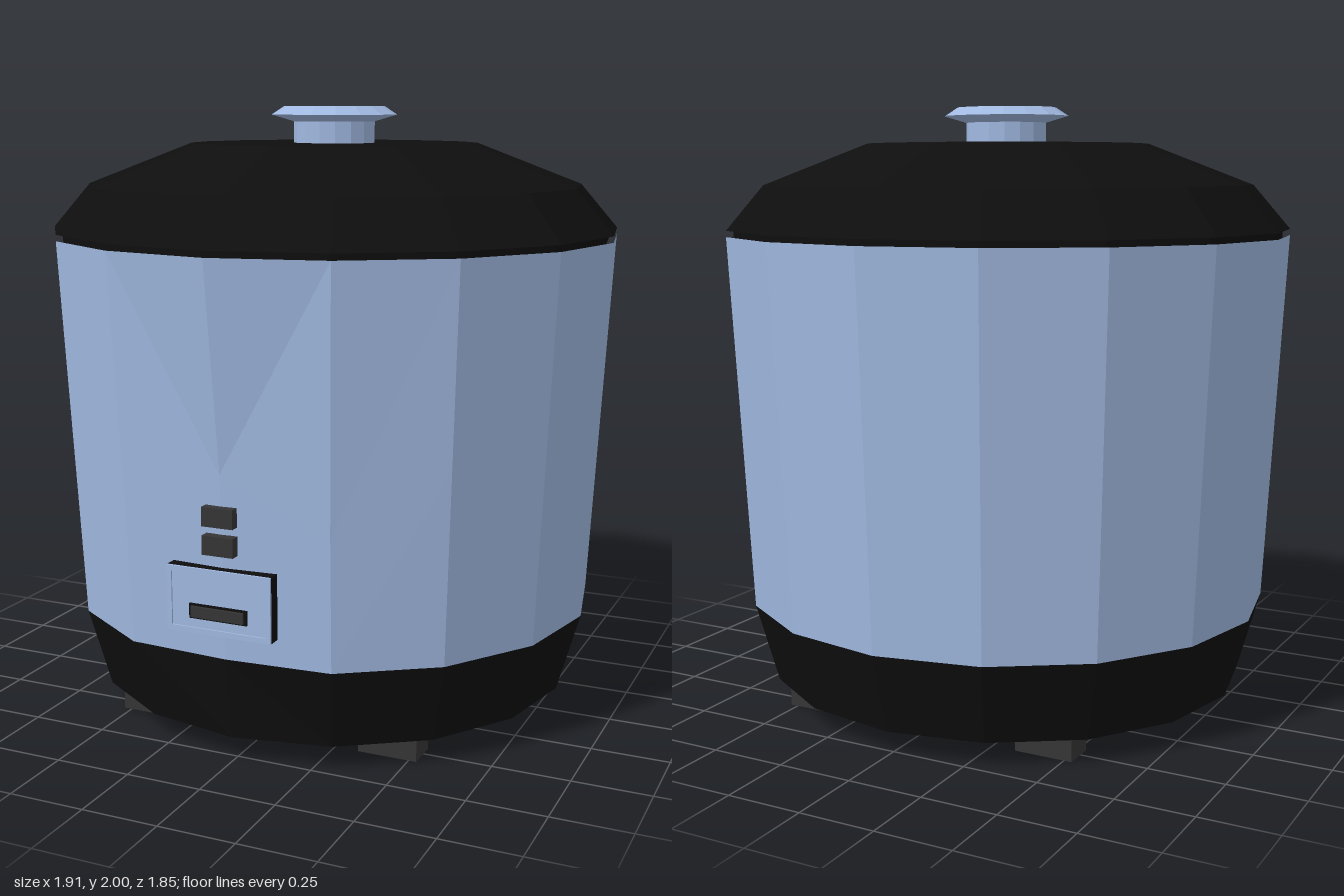
import * as THREE from 'three';

const SIDES = 16;
const DEPTH = 0.97; // the pot is slightly shallower than it is wide

const mat = (name, color) => {
  const m = new THREE.MeshStandardMaterial({ color });
  m.name = name;
  return m;
};

// Give every face its own normal
function faceted(geometry) {
  const g = geometry.toNonIndexed();
  g.computeVertexNormals();
  return g;
}

function lathe(profile, depth) {
  const g = new THREE.LatheGeometry(profile.map(([r, y]) => new THREE.Vector2(r, y)), SIDES);
  return g.scale(1, 1, depth);
}

// Move the vertices of a geometry by a rule
function reshape(g, rule) {
  const p = g.attributes.position;
  const v = new THREE.Vector3();
  for (let i = 0; i < p.count; i++) {
    v.fromBufferAttribute(p, i);
    rule(v);
    p.setXYZ(i, v.x, v.y, v.z);
  }
  return g;
}

export function createModel() {
  const model = new THREE.Group();
  model.name = 'riceCooker';
  const blue = mat('blue enamel', 0xa0b8e0);
  const black = mat('black plastic', 0x0e0e0e);
  const grey = mat('dark grey rubber', 0x353535);

  const add = (name, geometry, material, parent = model) => {
    const mesh = new THREE.Mesh(faceted(geometry), material);
    mesh.name = name;
    parent.add(mesh);
    return mesh;
  };
  // Box given by its limits
  const box = (name, x0, x1, y0, y1, z0, z1, material, parent) =>
    add(name, new THREE.BoxGeometry(x1 - x0, y1 - y0, z1 - z0)
      .translate((x0 + x1) / 2, (y0 + y1) / 2, (z0 + z1) / 2), material, parent);

  // Body: one half with a pressed-in control panel, mirrored to the other side
  const half = new THREE.CylinderGeometry(0.955, 0.89, 1.235, SIDES / 2, 2, true, 0, Math.PI);
  half.scale(1, 1, DEPTH).translate(0, 0.9625, 0);
  reshape(half, (v) => {
    if (v.z < 0.6) return;
    const middle = Math.abs(v.y - 0.9625) < 0.01;
    if (v.x < 0.01) {
      if (middle) v.set(0, 0.93, 0.845);
      else if (v.y < 0.5) v.z = 0.82;
    } else if (middle && v.x < 0.4) {
      v.set(0.345, 0.76, 0.815);
    }
  });
  add('bodyLeft', half, blue);
  add('bodyRight', half, blue).scale.x = -1;

  // Base, its front pulled in under the control panel
  const base = lathe([[0, 0.08], [0.815, 0.08], [0.89, 0.345], [0, 0.345]], DEPTH);
  reshape(base, (v) => {
    if (Math.abs(v.x) < 0.01 && v.z > 0.84) v.z = 0.822;
  });
  add('base', base, black);

  // Lid
  add('lid', lathe([
    [0, 1.57], [0.93, 1.57], [0.93, 1.6], [0.955, 1.6],
    [0.83, 1.745], [0.48, 1.88], [0, 1.88],
  ], DEPTH), black);

  // Knob
  add('lidKnob', lathe([
    [0.137, 1.87], [0.137, 1.95], [0.213, 1.972], [0.17, 2], [0, 2],
  ], 0.89), blue);

  // Feet
  for (const sx of [-1, 1]) {
    for (const sz of [-1, 1]) {
      const x = sx * 0.428, z = sz * 0.512;
      box('foot', x - 0.098, x + 0.098, 0, 0.09, z - 0.053, z + 0.053, grey);
    }
  }

  // Controls
  const controls = new THREE.Group();
  controls.name = 'controls';
  model.add(controls);
  for (const y of [0.685, 0.773]) {
    box('indicator', -0.052, 0.052, y, y + 0.06, 0.835, 0.867, grey, controls);
  }
  box('switchBacking', -0.175, 0.175, 0.435, 0.64, 0.82, 0.86, black, controls);
  box('switchPanel', -0.158, 0.158, 0.452, 0.623, 0.859, 0.863, blue, controls);

  // Raised frame around the switch
  const rect = (shape, x, y0, y1) =>
    shape.moveTo(-x, y0).lineTo(x, y0).lineTo(x, y1).lineTo(-x, y1).closePath();
  const frame = new THREE.Shape();
  rect(frame, 0.175, 0.435, 0.64);
  const hole = new THREE.Path();
  rect(hole, 0.158, 0.452, 0.623);
  frame.holes.push(hole);
  add('switchFrame', new THREE.ExtrudeGeometry(frame, { depth: 0.008, bevelEnabled: false })
    .translate(0, 0, 0.86), blue, controls);

  box('switchLeverRim', -0.097, 0.097, 0.482, 0.528, 0.86, 0.87, black, controls);
  box('switchLever', -0.088, 0.088, 0.488, 0.522, 0.865, 0.878, grey, controls);

  return model;
}
